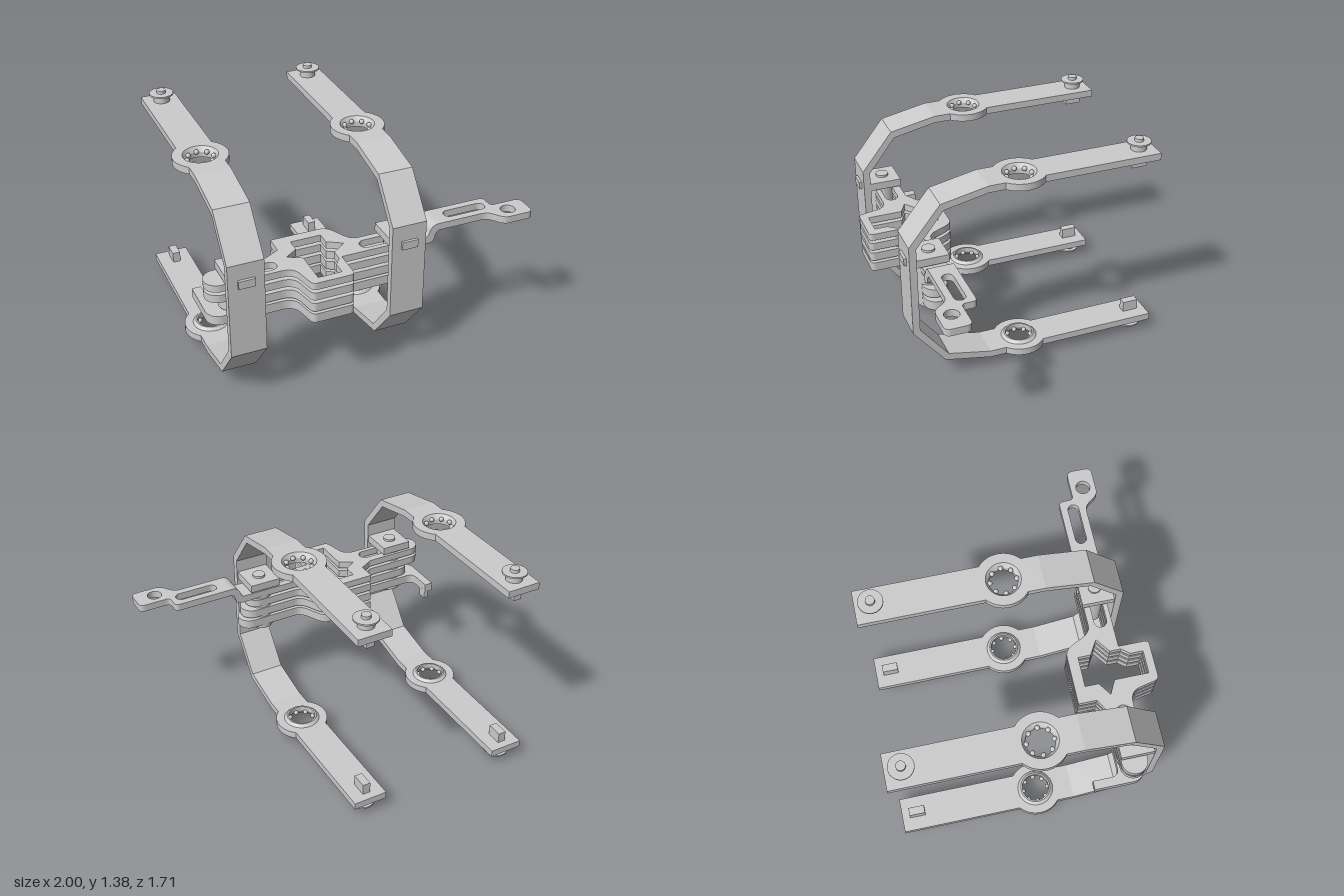
import * as THREE from 'three';

const MID = 0.6875; // height of the brackets' mirror plane
const mat = new THREE.MeshStandardMaterial({ color: 0xcccccc });

function add(parent, name, geo, x = 0, y = 0, z = 0) {
  const m = new THREE.Mesh(geo, mat);
  m.name = name;
  m.position.set(x, y, z);
  parent.add(m);
  return m;
}
const box = (w, h, d) => new THREE.BoxGeometry(w, h, d);
const cyl = (r, h) => new THREE.CylinderGeometry(r, r, h, 32);
const polygon = pts => new THREE.Shape(pts.map(p => new THREE.Vector2(...p)));

// Plan shape drawn in (x, z), thickened downwards from y = 0
function slab(shape, h) {
  return new THREE.ExtrudeGeometry(shape, { depth: h, bevelEnabled: false, curveSegments: 14 })
    .rotateX(Math.PI / 2);
}
function circleHole(x, z, r) {
  return new THREE.Path().absarc(x, z, r, 0, Math.PI * 2, true);
}
function slotHole(x0, x1, z, r) {
  const p = new THREE.Path();
  p.absarc(x1 - r, z, r, -Math.PI / 2, Math.PI / 2, false);
  p.absarc(x0 + r, z, r, Math.PI / 2, Math.PI * 1.5, false);
  p.closePath();
  return p;
}

// Slotted plate with the wide central frame
function plateShape(x0, x1, hook, roundEnd) {
  const s = new THREE.Shape();
  s.moveTo(x0 + 0.08, 0.66);
  if (hook) {
    s.absarc(x0 + 0.08, 0.58, 0.08, Math.PI / 2, Math.PI, false);
    s.lineTo(x0, 0.335);
    s.lineTo(x0 + 0.055, 0.335);
    s.lineTo(x0 + 0.055, 0.45);
    s.quadraticCurveTo(x0 + 0.055, 0.5, x0 + 0.11, 0.5);
  } else {
    s.absarc(x0 + 0.08, 0.58, 0.08, Math.PI / 2, Math.PI * 1.5, false);
  }
  s.lineTo(-0.6, 0.5);
  s.lineTo(-0.51, 0.45);
  s.lineTo(-0.51, 0.335);
  s.lineTo(-0.2, 0.335);
  s.bezierCurveTo(-0.11, 0.335, -0.12, 0.51, -0.03, 0.51);
  if (roundEnd) {
    s.lineTo(x1 - 0.075, 0.51);
    s.absarc(x1 - 0.075, 0.585, 0.075, -Math.PI / 2, Math.PI / 2, false);
  } else {
    s.lineTo(x1, 0.51);
    s.lineTo(x1, 0.66);
  }
  s.lineTo(-0.2, 0.66);
  s.lineTo(-0.2, 0.82);
  s.quadraticCurveTo(-0.2, 0.85, -0.23, 0.85);
  s.lineTo(-0.43, 0.85);
  s.quadraticCurveTo(-0.46, 0.85, -0.465, 0.81);
  s.lineTo(-0.48, 0.74);
  s.quadraticCurveTo(-0.49, 0.66, -0.57, 0.66);
  s.closePath();
  s.holes.push(
    slotHole(-0.87, -0.57, 0.59, 0.04),
    slotHole(-0.055, 0.25, 0.59, 0.04),
    polygon([[-0.41, 0.4], [-0.22, 0.4], [-0.22, 0.48], [-0.13, 0.535], [-0.22, 0.6], [-0.22, 0.67],
      [-0.26, 0.72], [-0.26, 0.8], [-0.405, 0.8], [-0.405, 0.585], [-0.49, 0.54], [-0.41, 0.485]]));
  return s;
}

// Arm outline with a slot and an eye
function armShape() {
  const s = new THREE.Shape();
  s.moveTo(0.42, 0.51);
  s.lineTo(0.77, 0.51);
  s.quadraticCurveTo(0.8, 0.51, 0.8, 0.54);
  s.lineTo(0.8, 0.575);
  s.quadraticCurveTo(0.8, 0.605, 0.83, 0.605);
  s.lineTo(0.96, 0.605);
  s.quadraticCurveTo(1, 0.605, 1, 0.645);
  s.lineTo(1, 0.725);
  s.quadraticCurveTo(1, 0.765, 0.96, 0.765);
  s.lineTo(0.84, 0.765);
  s.bezierCurveTo(0.77, 0.765, 0.78, 0.67, 0.7, 0.67);
  s.lineTo(0.42, 0.67);
  s.closePath();
  s.holes.push(slotHole(0.49, 0.765, 0.59, 0.035), circleHole(0.872, 0.685, 0.045));
  return s;
}

// Upper jaw of a bracket, heights measured from the mirror plane
function makeJaw() {
  const g = new THREE.Group();
  const top = 1.3 - MID, w = 0.1075, a = Math.asin(w / 0.165);
  const s = new THREE.Shape();
  s.moveTo(-w, -0.86);
  s.lineTo(w, -0.86);
  s.absarc(0, 0.02, 0.165, a - Math.PI / 2, Math.PI / 2 - a, false);
  s.lineTo(w, 0.25);
  s.lineTo(-w, 0.25);
  s.absarc(0, 0.02, 0.165, Math.PI / 2 + a, Math.PI * 1.5 - a, false);
  s.closePath();
  s.holes.push(circleHole(0, 0.02, 0.11));
  add(g, 'jawStrip', slab(s, 0.045), 0, top, 0);

  // Bearing seat with a ring of balls
  const seat = [[0.085, -0.063], [0.095, -0.063], [0.113, -0.045], [0.113, 0], [0.105, 0], [0.085, -0.03], [0.085, -0.063]];
  const seatGeo = new THREE.LatheGeometry(seat.map(p => new THREE.Vector2(...p)), 40).toNonIndexed();
  seatGeo.computeVertexNormals();
  add(g, 'bearingSeat', seatGeo, 0, top, 0.02);
  for (let i = 0; i < 8; i++) {
    const t = i * Math.PI / 4;
    add(g, 'bearingBall', new THREE.SphereGeometry(0.015, 14, 10),
      0.08 * Math.cos(t), top - 0.025, 0.02 + 0.08 * Math.sin(t));
  }

  // End pin
  add(g, 'pinShaft', cyl(0.05, 0.045), 0, top + 0.0225, -0.76);
  add(g, 'pinFlange', cyl(0.075, 0.01), 0, top + 0.05, -0.76);
  add(g, 'pinTip', cyl(0.028, 0.02), 0, top + 0.065, -0.76);
  add(g, 'pinTab', box(0.05, 0.07, 0.1), 0, top - 0.08, -0.76);
  return g;
}

// Bent bracket with two jaws and the clamp column behind it
function makeBracket(x) {
  const g = new THREE.Group();
  g.name = 'bracket';
  g.position.x = x;
  for (const turn of [0, Math.PI]) {
    const jaw = makeJaw();
    jaw.name = turn ? 'lowerJaw' : 'upperJaw';
    jaw.position.y = MID;
    jaw.rotation.z = turn;
    g.add(jaw);
  }
  const outer = [[0.25, 0.075], [0.545, 0.135], [0.745, 0.385]];
  const inner = [[0.25, 0.12], [0.525, 0.178], [0.7, 0.402]];
  const flip = pts => pts.map(([z, y]) => [z, 2 * MID - y]).reverse();
  const band = polygon([...outer, ...flip(outer), ...flip(inner).reverse(), ...inner.slice().reverse()]);
  add(g, 'bentBand', new THREE.ExtrudeGeometry(band, { depth: 0.215, bevelEnabled: false })
    .rotateY(-Math.PI / 2), 0.1075);

  add(g, 'clampBlock', box(0.2, 0.05, 0.205), 0, 0.865, 0.6);
  add(g, 'clampNub', box(0.1, 0.05, 0.08), 0, 0.865, 0.722);
  add(g, 'clampColumn', cyl(0.08, 0.32), 0, 0.69, 0.595);
  add(g, 'columnFoot', cyl(0.04, 0.03), 0, 0.518, 0.595);
  add(g, 'columnHead', cyl(0.04, 0.015), 0, 0.897, 0.595);
  return g;
}

export function createModel() {
  const model = new THREE.Group();
  model.add(makeBracket(-0.805), makeBracket(0.185));

  // Stack of plates: top height, thickness, left end, right end
  const plates = [[0.825, 0.045, -1, 0.33], [0.76, 0.05, -1, 0.29], [0.69, 0.055, -0.92, 0.325], [0.618, 0.058, -1, 0.345]];
  plates.forEach(([y, h, x0, x1], i) =>
    add(model, 'plate', slab(plateShape(x0, x1, i === 3, i > 0), h), 0, y, 0));

  // Tabs turned down from the lowest plate
  for (const x of [-0.958, -0.478]) add(model, 'plateTab', box(0.027, 0.06, 0.06), x, 0.54, 0.37);

  // S-bend lifting the top plate to the arm
  const b = new THREE.Shape();
  b.moveTo(0.33, 0.78);
  b.lineTo(0.36, 0.78);
  b.quadraticCurveTo(0.385, 0.782, 0.392, 0.81);
  b.quadraticCurveTo(0.4, 0.852, 0.42, 0.855);
  b.lineTo(0.42, 0.9);
  b.quadraticCurveTo(0.375, 0.9, 0.36, 0.86);
  b.quadraticCurveTo(0.35, 0.825, 0.33, 0.825);
  b.closePath();
  add(model, 'armBend', new THREE.ExtrudeGeometry(b, { depth: 0.16, bevelEnabled: false }), 0, 0, 0.51);
  add(model, 'arm', slab(armShape(), 0.045), 0, 0.9, 0);
  return model;
}
